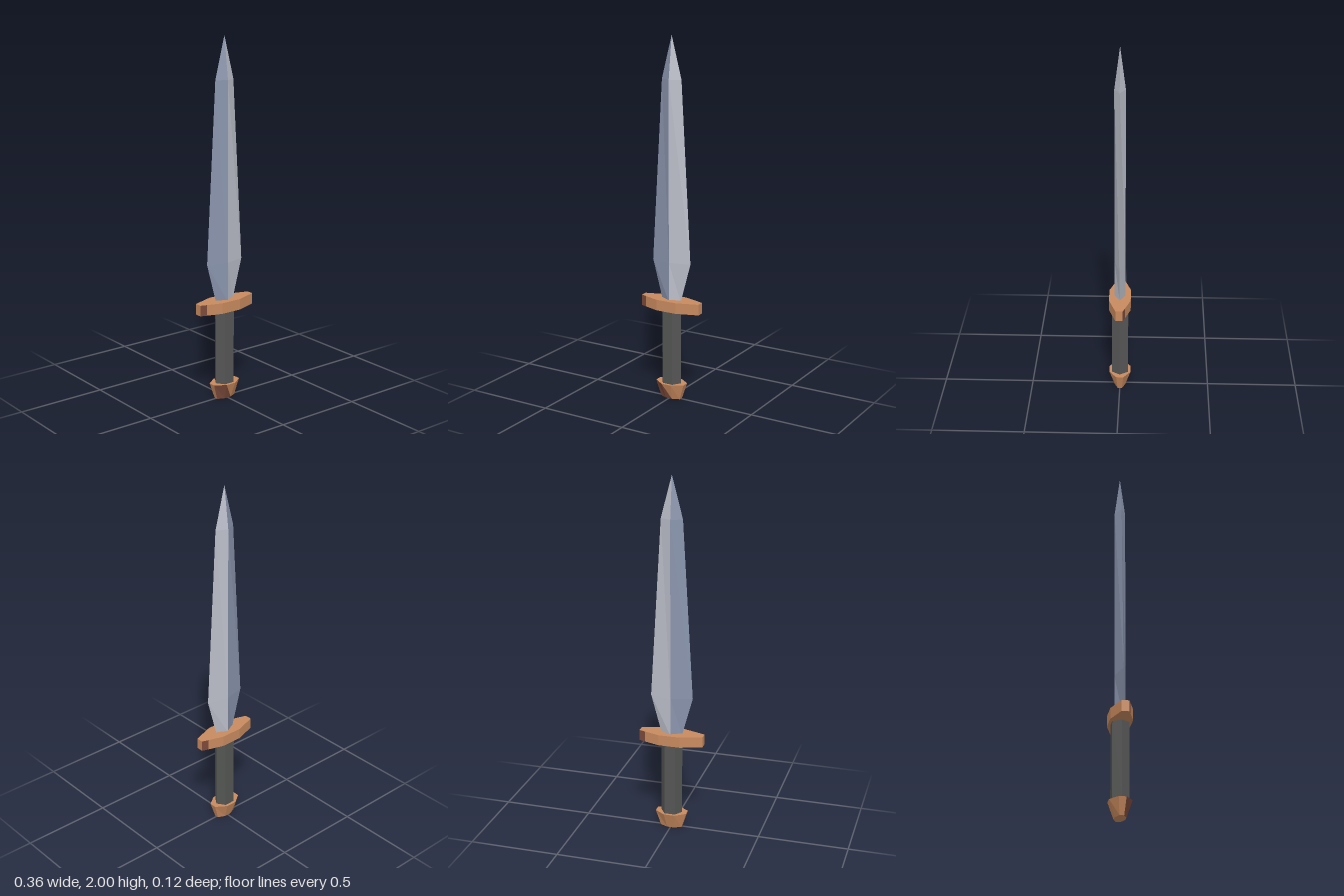
import * as THREE from 'three';

const paint = (name, color) => {
  const m = new THREE.MeshStandardMaterial({ color });
  m.name = name;
  return m;
};

// Faceted solid through rings of [x, z] corners, each at its own height.
// pick(side, half) chooses the material of each triangle.
function loft(name, rings, materials, pick = () => 0) {
  const faces = materials.map(() => []);
  const add = (m, ...pts) => pts.forEach((p) => faces[m].push(...p));
  const corners = rings.map(({ y, pts }) => pts.map(([x, z]) => [x, y, z]));
  const n = corners[0].length;
  for (let r = 0; r + 1 < corners.length; r++) {
    for (let i = 0; i < n; i++) {
      const j = (i + 1) % n;
      const a = corners[r][i], b = corners[r][j], c = corners[r + 1][j], d = corners[r + 1][i];
      if (c.join() !== d.join()) add(pick(i, 0), a, d, c);
      add(pick(i, 1), a, c, b);
    }
  }
  // end caps
  const low = corners[0], high = corners[corners.length - 1];
  for (let i = 1; i + 1 < n; i++) {
    add(0, low[0], low[i], low[i + 1]);
    if (high[0].join() !== high[1].join()) add(0, high[0], high[i + 1], high[i]);
  }
  const geometry = new THREE.BufferGeometry();
  geometry.setAttribute('position', new THREE.Float32BufferAttribute(faces.flat(), 3));
  let start = 0;
  faces.forEach((f, m) => {
    geometry.addGroup(start, f.length / 3, m);
    start += f.length / 3;
  });
  geometry.computeVertexNormals();
  const mesh = new THREE.Mesh(geometry, materials);
  mesh.name = name;
  return mesh;
}

// Stretched octagon with flat ends (half depth e) and flat front (half width f)
const octagon = (w, d, e, f) => [
  [w, e], [f, d], [-f, d], [-w, e], [-w, -e], [-f, -d], [f, -d], [w, -e],
];

export function createModel() {
  const lightSteel = paint('light steel', 0xbcbfca);
  const blueSteel = paint('blue steel', 0x8a95ad);
  const bronze = paint('bronze', 0xc88a5e);
  const darkBronze = paint('dark bronze', 0x7c4a3a);
  const grip = paint('dark grip', 0x545654);

  const model = new THREE.Group();
  model.name = 'sword';

  // Diamond-section blade, one half lighter than the other
  const diamond = (y, w, d) => ({ y, pts: [[w, 0], [0, d], [-w, 0], [0, -d]] });
  model.add(loft('blade',
    [diamond(0.56, 0.058, 0.03), diamond(0.78, 0.118, 0.03), diamond(1.77, 0.06, 0.03), diamond(2, 0, 0)],
    [lightSteel, blueSteel], (side) => (side === 1 || side === 2 ? 1 : 0)));

  // Guard, with a dark strip at one end of the front and of the back
  const guard = octagon(0.18, 0.06, 0.02, 0.06);
  guard.splice(7, 0, [0.145, -0.032]);
  guard.splice(3, 0, [-0.145, 0.032]);
  model.add(loft('guard', [{ y: 0.51, pts: guard }, { y: 0.57, pts: guard }],
    [bronze, darkBronze], (side) => (side === 3 || side === 8 ? 1 : 0)));

  // Six-sided handle
  const hexagon = [[0.06, 0], [0.03, 0.045], [-0.03, 0.045], [-0.06, 0], [-0.03, -0.045], [0.03, -0.045]];
  model.add(loft('handle', [{ y: 0.08, pts: hexagon }, { y: 0.52, pts: hexagon }], [grip]));

  // Tapered pommel, dark on its front right corner
  model.add(loft('pommel',
    [{ y: 0, pts: octagon(0.06, 0.03, 0.012, 0.02) }, { y: 0.09, pts: octagon(0.088, 0.06, 0.02, 0.03) }],
    [bronze, darkBronze], (side, half) => (side === 2 || (side === 1 && half === 1) ? 1 : 0)));

  return model;
}
